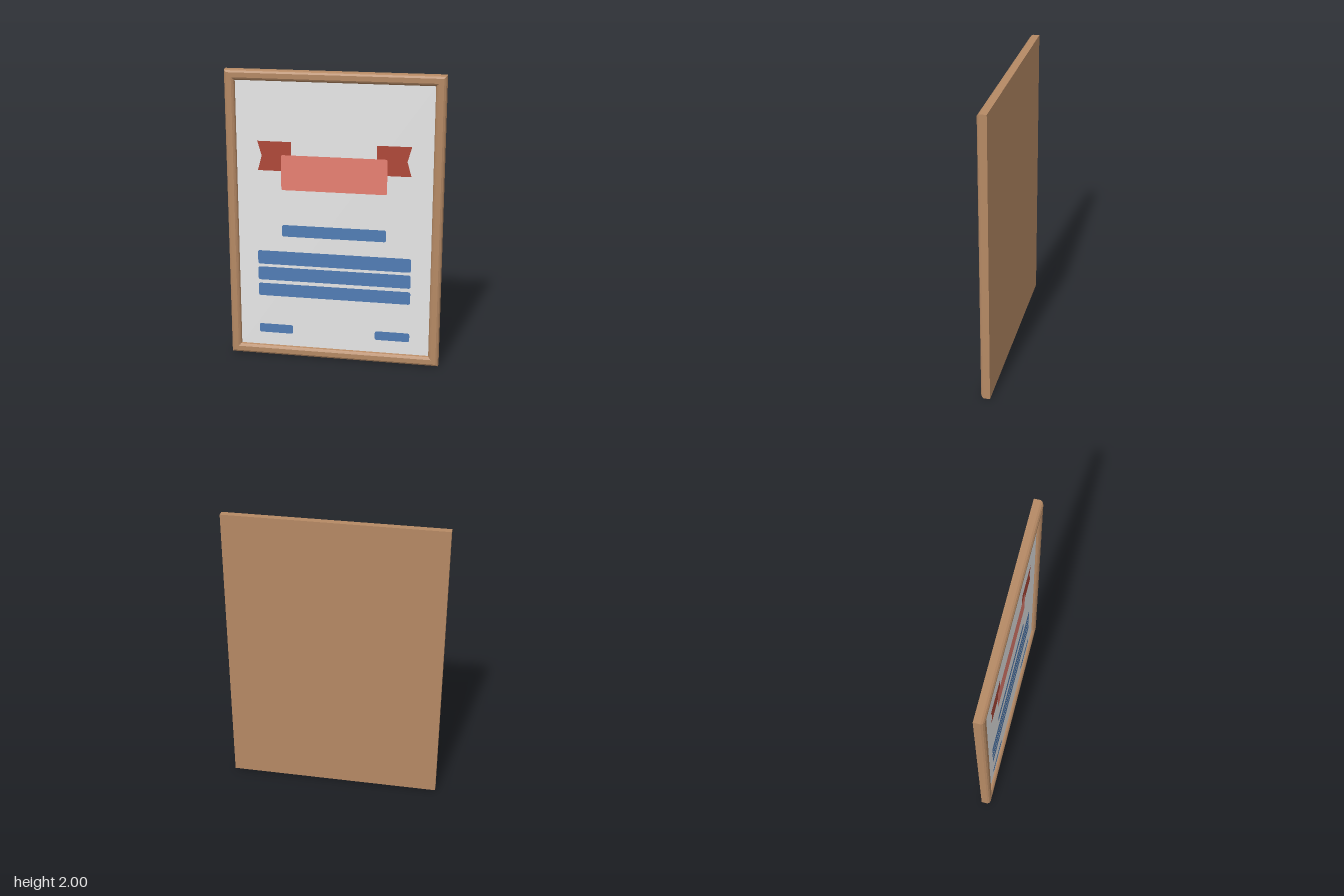
import * as THREE from 'three';

const mat = (name, color, extra = {}) => {
  const m = new THREE.MeshStandardMaterial({ color, ...extra });
  m.name = name;
  return m;
};

const HALF_W = 0.725, HALF_H = 1, PAPER_Z = 0.008;

// Mitred frame: each profile point is [inset from the outer edge, z]
function frameGeometry(profile) {
  const pos = [];
  const ring = ([d, z]) => {
    const w = HALF_W - d, h = HALF_H - d;
    return [[-w, -h, z], [w, -h, z], [w, h, z], [-w, h, z]];
  };
  for (let i = 0; i < profile.length - 1; i++) {
    const a = ring(profile[i]), b = ring(profile[i + 1]);
    for (let k = 0; k < 4; k++) {
      const n = (k + 1) % 4;
      pos.push(...a[k], ...a[n], ...b[n], ...a[k], ...b[n], ...b[k]);
    }
  }
  const g = new THREE.BufferGeometry();
  g.setAttribute('position', new THREE.Float32BufferAttribute(pos, 3));
  g.computeVertexNormals();
  return g;
}

// Flat rectangle with small rounded corners
function roundedRect(x0, y0, x1, y1, r = 0.015) {
  const s = new THREE.Shape();
  s.moveTo(x0 + r, y0);
  s.lineTo(x1 - r, y0);
  s.quadraticCurveTo(x1, y0, x1, y0 + r);
  s.lineTo(x1, y1 - r);
  s.quadraticCurveTo(x1, y1, x1 - r, y1);
  s.lineTo(x0 + r, y1);
  s.quadraticCurveTo(x0, y1, x0, y1 - r);
  s.lineTo(x0, y0 + r);
  s.quadraticCurveTo(x0, y0, x0 + r, y0);
  return new THREE.ShapeGeometry(s, 4);
}

export function createModel() {
  const wood = mat('wood', 0xb58964);
  const paper = mat('paper', 0xf0f0f0);
  const coral = mat('ribbonCoral', 0xea8173);
  const red = mat('ribbonRed', 0xaf4838);
  const blue = mat('textBlue', 0x517db5);

  const model = new THREE.Group();
  model.name = 'framedCertificate';
  const add = (name, geometry, material, z = 0, y = 0) => {
    const mesh = new THREE.Mesh(geometry, material);
    mesh.name = name;
    mesh.position.set(0, y, z);
    model.add(mesh);
    return mesh;
  };

  // Moulded frame, rounded outside and stepped towards the paper
  add('frame', frameGeometry([
    [0, -0.032], [0, 0.012], [0.006, 0.024], [0.018, 0.032],
    [0.05, 0.032], [0.06, 0.026], [0.066, 0.02], [0.07, PAPER_Z],
  ]), wood, 0, 1);

  // Back board
  add('backBoard', new THREE.PlaneGeometry(2 * HALF_W, 2 * HALF_H), wood, -0.032, 1)
    .rotation.y = Math.PI;

  // Paper sheet
  add('paperSheet', new THREE.PlaneGeometry(1.31, 1.86), paper, PAPER_Z, 1);

  // Ribbon tails with notched outer ends
  for (const side of [-1, 1]) {
    const tail = new THREE.Shape(
      [[0.285, 1.33], [0.513, 1.33], [0.485, 1.43], [0.513, 1.53], [0.285, 1.53]]
        .map(([x, y]) => new THREE.Vector2(side * x, y)));
    add(side > 0 ? 'leftRibbonTail' : 'rightRibbonTail',
      new THREE.ShapeGeometry(tail), red, PAPER_Z + 0.002);
  }

  // Ribbon banner
  add('ribbonBanner', roundedRect(-0.355, 1.2, 0.355, 1.44), coral, PAPER_Z + 0.004);

  // Heading, body lines and signature bars
  const bars = [
    ['headingBar', -0.355, 0.873, 0.353, 0.955],
    ['bodyBarTop', -0.525, 0.668, 0.523, 0.765],
    ['bodyBarMiddle', -0.525, 0.553, 0.523, 0.648],
    ['bodyBarBottom', -0.525, 0.437, 0.523, 0.528],
    ['rightSignatureBar', -0.525, 0.162, -0.287, 0.226],
    ['leftSignatureBar', 0.285, 0.162, 0.523, 0.226],
  ];
  for (const [name, ...rect] of bars) add(name, roundedRect(...rect), blue, PAPER_Z + 0.002);

  return model;
}
